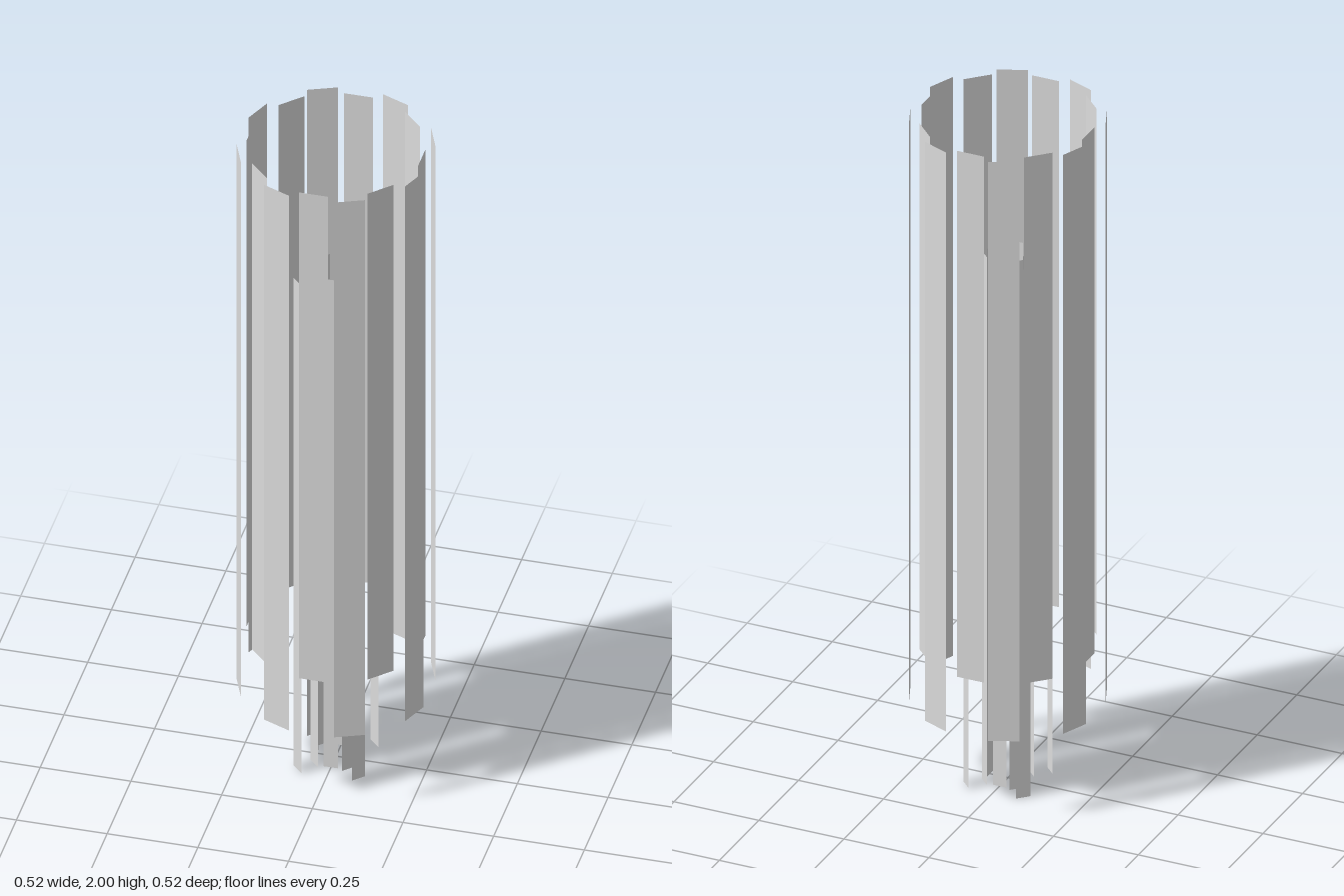
import * as THREE from 'three';

export function createModel() {
  const model = new THREE.Group();
  model.name = 'stripLamp';
  const glass = new THREE.MeshStandardMaterial({ color: 0xdcdcdc, side: THREE.DoubleSide });
  glass.name = 'pale grey glass';

  // A ring of flat upright strips, each facing away from the centre axis
  function ring(name, { count, start = 0, radius, width, bottom, top }) {
    const group = new THREE.Group();
    group.name = name;
    const geometry = new THREE.PlaneGeometry(width, top - bottom);
    for (let i = 0; i < count; i++) {
      const angle = start + (i / count) * Math.PI * 2;
      const strip = new THREE.Mesh(geometry, glass);
      strip.name = name + 'Strip';
      strip.position.set(Math.sin(angle) * radius, (top + bottom) / 2, Math.cos(angle) * radius);
      strip.rotation.y = angle;
      group.add(strip);
    }
    model.add(group);
  }

  // Outer curtain: long and short strips alternate
  ring('outerLong', { count: 8, start: Math.PI / 8, radius: 0.262, width: 0.083, bottom: 0.25, top: 2 });
  ring('outerShort', { count: 8, radius: 0.236, width: 0.08, bottom: 0.41, top: 2 });

  // Inner cluster of narrow strips hanging lower
  const inner = { count: 4, width: 0.04, bottom: 0, top: 1.595 };
  ring('innerCorner', { ...inner, start: Math.PI / 4, radius: 0.119 });
  ring('innerDiagonal', { ...inner, start: Math.PI / 4, radius: 0.067 });
  ring('innerCore', { ...inner, radius: 0.053 });

  return model;
}
